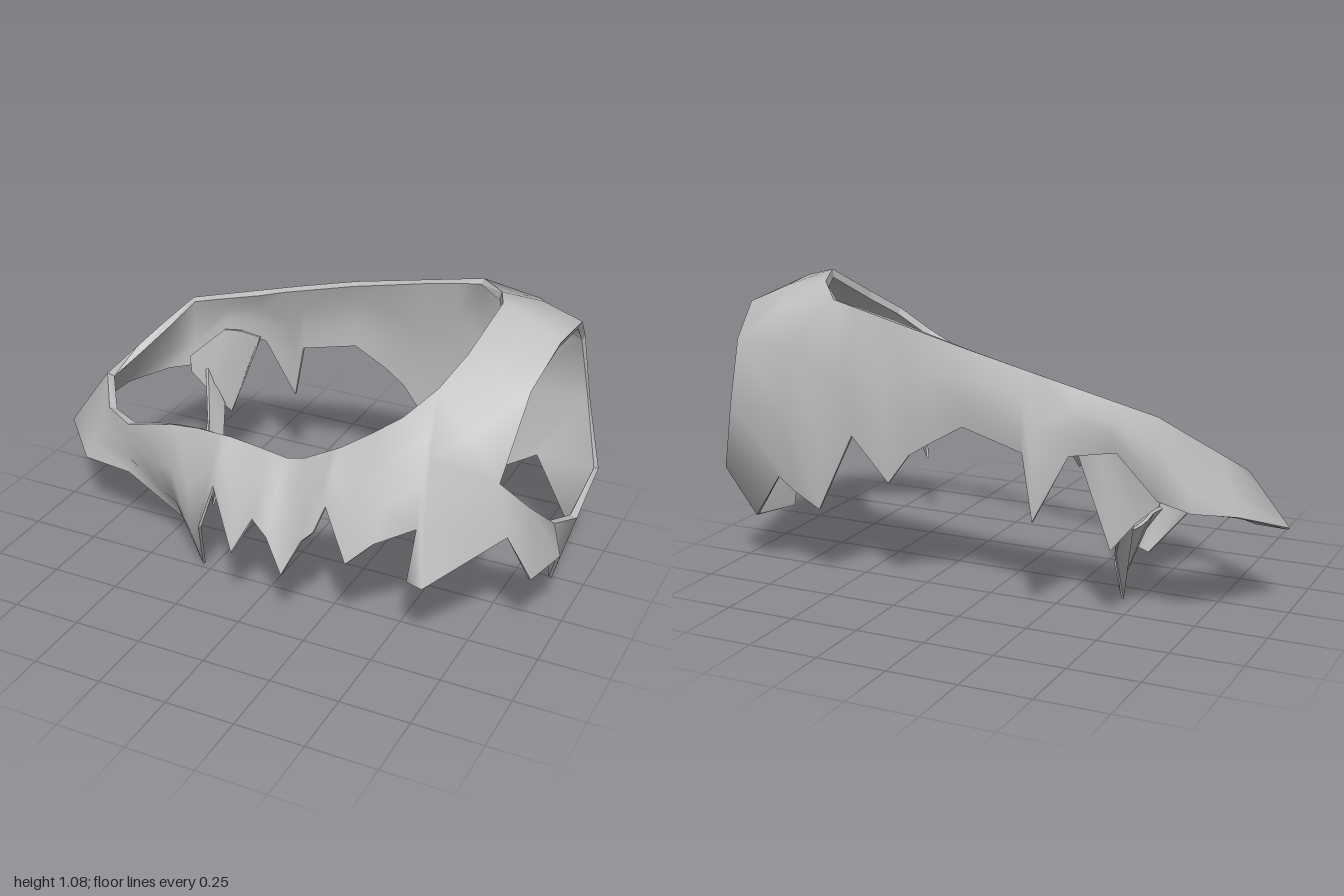
import * as THREE from 'three';

const V = (p) => new THREE.Vector3(...p);
const mix = (a, b, t) => a.map((v, i) => v + (b[i] - v) * t);

// Point on a rim polyline at a given x (clamped to its ends)
function rimAt(rim, x) {
  if (x <= rim[0][0]) return rim[0];
  for (let i = 1; i < rim.length; i++) {
    const a = rim[i - 1], b = rim[i];
    if (x <= b[0]) return mix(a, b, (x - a[0]) / (b[0] - a[0]));
  }
  return rim[rim.length - 1];
}

// Welded sheet made from strips of columns, then given an inner side and an edge
class Sheet {
  constructor() { this.points = []; this.thick = []; this.faces = []; this.keys = new Map(); }
  vertex(p, t) {
    const key = p.map((v) => v.toFixed(3)).join();
    if (!this.keys.has(key)) {
      this.keys.set(key, this.points.length);
      this.points.push(V(p));
      this.thick.push(t);
    }
    return this.keys.get(key);
  }
  face(a, b, c) { if (a !== b && b !== c && a !== c) this.faces.push([a, b, c]); }
  triangle(corners, t) { this.face(...corners.map((p) => this.vertex(p, t))); }
  // each column runs from top to bottom, columns run anticlockwise seen from above
  strip(columns, thickness) {
    const id = columns.map((col) => col.map((p, r) => this.vertex(p, thickness[r])));
    for (let i = 0; i + 1 < id.length; i++) {
      for (let r = 0; r + 1 < id[i].length; r++) {
        const a = id[i][r], b = id[i][r + 1], c = id[i + 1][r + 1], d = id[i + 1][r];
        this.face(a, b, c);
        this.face(a, c, d);
      }
    }
  }
  build(name, material) {
    const outer = new THREE.BufferGeometry().setFromPoints(this.points);
    outer.setIndex(this.faces.flat());
    outer.computeVertexNormals();
    const n = outer.attributes.normal;
    const inside = this.points.map((p, i) =>
      p.clone().addScaledVector(new THREE.Vector3().fromBufferAttribute(n, i), -this.thick[i]));
    const inner = new THREE.BufferGeometry().setFromPoints(inside);
    inner.setIndex(this.faces.map(([a, b, c]) => [a, c, b]).flat());
    inner.computeVertexNormals();

    // close every open border with a crisp edge face
    const used = new Set();
    const edges = this.faces.flatMap(([a, b, c]) => [[a, b], [b, c], [c, a]]);
    edges.forEach(([a, b]) => used.add(a + '_' + b));
    const quads = [];
    for (const [a, b] of edges) {
      if (used.has(b + '_' + a)) continue;
      quads.push(this.points[b], this.points[a], inside[a], this.points[b], inside[a], inside[b]);
    }
    const border = new THREE.BufferGeometry().setFromPoints(quads);
    border.computeVertexNormals();

    const group = new THREE.Group();
    group.name = name;
    [['OuterSurface', outer], ['InnerSurface', inner], ['BrokenEdge', border]].forEach(([part, g]) => {
      const mesh = new THREE.Mesh(g, material);
      mesh.name = name + part;
      group.add(mesh);
    });
    return group;
  }
}

// Four-row column with an outward bulge in z
function column(top, bottom, bulge = 0) {
  const push = (t) => {
    const p = mix(top, bottom, t);
    p[2] += bulge;
    return p;
  };
  return [top, push(0.34), push(0.68), bottom];
}

export function createModel() {
  const grey = new THREE.MeshStandardMaterial({ color: 0xbfbfbf, side: THREE.DoubleSide });
  grey.name = 'shellGrey';

  // Upper opening
  const backRim = [[-0.67, 0.74, -0.4], [-0.06, 0.9, -0.45], [0.5, 1.03, -0.42]];
  const frontRim = [[-0.6, 0.49, 0.2], [-0.37, 0.55, 0.21], [-0.13, 0.57, 0.25], [0.13, 0.58, 0.32],
    [0.33, 0.69, 0.32], [0.49, 0.8, 0.26], [0.58, 0.89, 0.19]];
  const backCorner = backRim[2], frontCorner = frontRim[6];

  // Side opening and the arch points beside it
  const holeFront = [0.84, 0.655, 0.285], holeBack = [0.9, 0.63, -0.475], holeBackTop = [0.87, 0.87, -0.455];
  const archFront = [0.73, 0.79, 0.27], archBack = [0.7, 0.985, -0.445];

  // Jagged lower borders
  const backTeeth = [[0.577, 0.28, -0.43], [0.415, 0.575, -0.47],
    [0.285, 0.42, -0.455], [0.2, 0.53, -0.46], [0.12, 0.58, -0.47], [0, 0.65, -0.46], [-0.22, 0.59, -0.47],
    [-0.27, 0.37, -0.5], [-0.38, 0.595, -0.46], [-0.53, 0.615, -0.425], [-0.66, 0.46, -0.39]];
  const notch = [0.61, 0.49, 0.41], foldTip = [0.66, 0.31, 0.47];
  const frontTeeth = [[-0.155, 0.44, 0.38], [-0.03, 0.27, 0.49], [0.035, 0.4, 0.455], [0.1, 0.36, 0.48],
    [0.165, 0.24, 0.5], [0.23, 0.38, 0.48], [0.27, 0.42, 0.47], [0.3, 0.51, 0.44], [0.4, 0.35, 0.5],
    [0.49, 0.44, 0.48], notch, foldTip];
  const endFront = [0.87, 0.45, 0.265], endBack = [0.74, 0.38, -0.43];

  const shell = new Sheet();

  // Wall running along the back, round the narrow end and along the front
  shell.strip([
    [archBack, holeBackTop, holeBack, endBack],
    [backCorner, [0.66, 0.86, -0.485], [0.66, 0.62, -0.49], [0.67, 0.335, -0.435]],
    ...backTeeth.map((p) => column(rimAt(backRim, p[0]), p, -0.02)),
    column([-0.73, 0.67, -0.31], [-0.77, 0.43, -0.38], -0.02),
    column([-0.8, 0.59, -0.2], [-0.89, 0.4, -0.26]),
    column([-0.87, 0.51, -0.09], [-1, 0.31, -0.03]),
    column([-0.77, 0.455, 0.06], [-0.84, 0.26, 0.13]),
    column(frontRim[0], [-0.61, 0.29, 0.2]),
    column([-0.5, 0.515, 0.2], [-0.455, 0.1, 0.11], 0.05),
    column([-0.4, 0.54, 0.21], [-0.385, 0.11, 0.14], 0.08),
    column([-0.3, 0.555, 0.22], [-0.29, 0.0, 0.23], 0.08),
    column([-0.2, 0.565, 0.24], [-0.2, 0.28, 0.41], 0.01),
    ...frontTeeth.map((p) => column(rimAt(frontRim, p[0]), p, 0.02)),
    [frontCorner, archFront, holeFront, endFront],
  ], [0.03, 0.025, 0.02, 0.01]);

  // Arch between the upper and side openings
  shell.strip([
    [frontCorner, archFront, holeFront],
    [[0.63, 0.97, 0.06], [0.75, 0.94, 0.09], [0.86, 0.9, 0.09]],
    [[0.67, 1.08, -0.14], [0.78, 1.05, -0.12], [0.89, 1.0, -0.1]],
    [[0.62, 1.06, -0.27], [0.76, 1.04, -0.3], [0.89, 0.98, -0.33]],
    [backCorner, archBack, holeBackTop],
  ], [0.03, 0.025, 0.03]);

  // Folded front tooth
  shell.triangle([foldTip, notch, [0.57, 0.26, 0.38]], 0.01);

  // Toothed band below the side opening
  shell.strip([
    [holeFront, endFront],
    [[0.91, 0.53, 0.18], [0.94, 0.27, 0.2]],
    [[0.97, 0.43, 0.08], [0.99, 0.29, 0.05]],
    [[0.995, 0.36, -0.1], [0.94, 0.135, -0.04]],
    [[0.97, 0.385, -0.42], [0.9, 0.19, -0.34]],
    [holeBack, endBack],
  ], [0.025, 0.01]);

  // Inner flap at the back, near the narrow end
  const flap = new Sheet();
  flap.strip([
    [[-0.37, 0.635, -0.4], [-0.39, 0.57, -0.39]],
    [[-0.46, 0.64, -0.41], [-0.51, 0.28, -0.415]],
    [[-0.53, 0.63, -0.41], [-0.58, 0.37, -0.37]],
    [[-0.67, 0.5, -0.38], [-0.66, 0.44, -0.37]],
  ], [0.01, 0.008]);

  // Thin toothed bridge crossing below the narrow end
  const bridge = new Sheet();
  bridge.strip([
    [[-0.6, 0.46, -0.37], [-0.53, 0.32, -0.38]],
    [[-0.53, 0.33, -0.25], [-0.46, 0.2, -0.23]],
    [[-0.5, 0.28, -0.18], [-0.455, 0.01, -0.14]],
    [[-0.495, 0.27, -0.14], [-0.435, 0.15, -0.165]],
    [[-0.49, 0.26, -0.08], [-0.425, 0.11, -0.09]],
    [[-0.49, 0.26, -0.01], [-0.42, 0.06, -0.025]],
    [[-0.48, 0.26, 0.08], [-0.42, 0.11, 0.07]],
    [[-0.48, 0.25, 0.17], [-0.385, 0.11, 0.14]],
  ], [0.012, 0.008]);

  const model = new THREE.Group();
  model.name = 'brokenShell';
  model.add(shell.build('shell', grey), flap.build('flap', grey), bridge.build('bridge', grey));
  return model;
}
